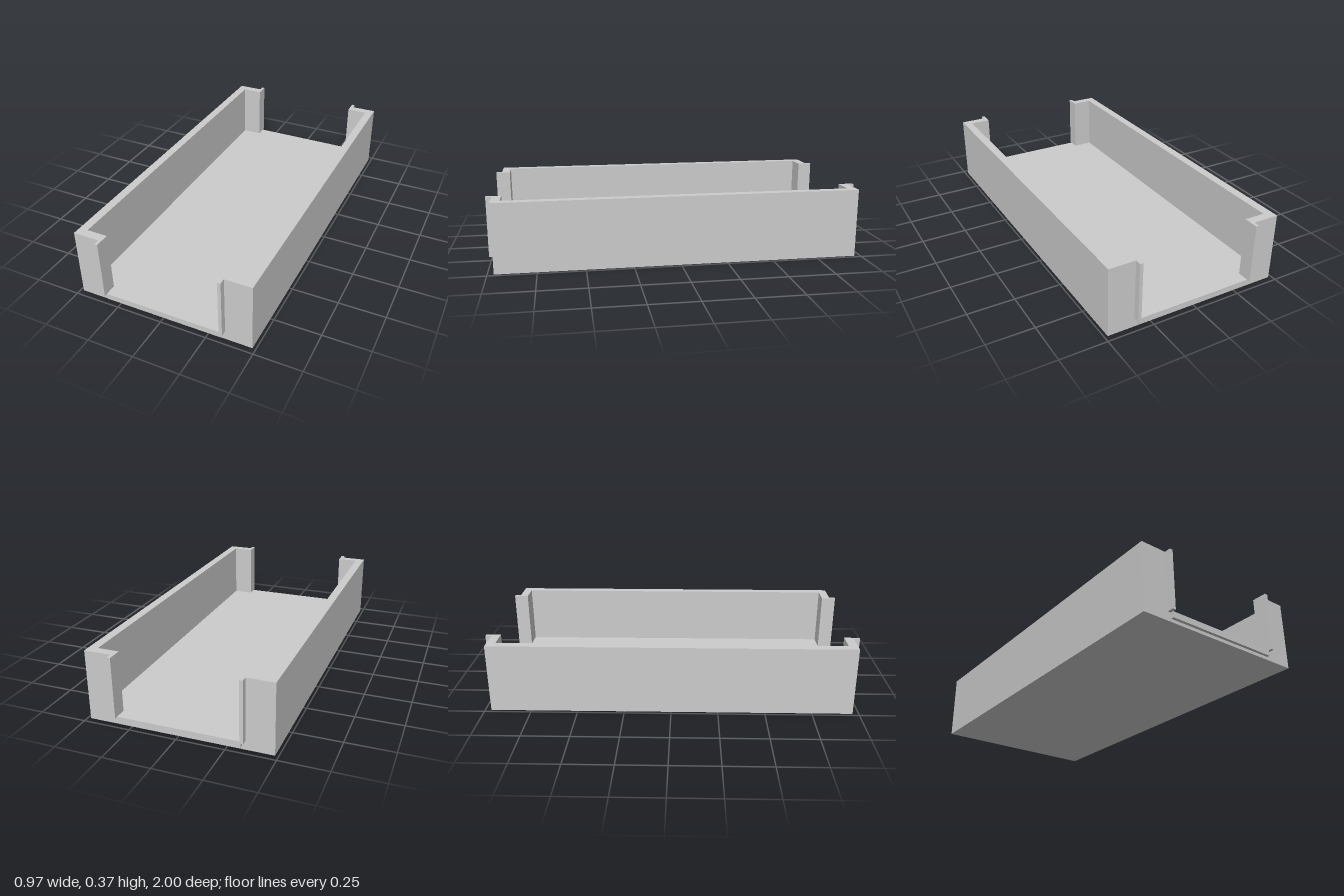
import * as THREE from 'three';

const HALF_W = 0.483, HALF_L = 0.967, HEIGHT = 0.372, FLOOR = 0.049;
const INNER_W = 0.436, INNER_L = 0.92, OPENING = 0.322;
const TAB_W = 0.34, TAB_END = 1, LIP_END = 0.983, LIP_BOTTOM = 0.017;

const material = new THREE.MeshStandardMaterial({ color: 0xcccccc, flatShading: true });

function add(group, name, geometry, x = 0, y = 0, z = 0) {
  const mesh = new THREE.Mesh(geometry, material);
  mesh.name = name;
  mesh.position.set(x, y, z);
  group.add(mesh);
}

// C-shaped side wall: long wall, returns at both ends, and a thin tab on each return
function wallGeometry(side) {
  const half = [
    [HALF_W, HALF_L], [TAB_W, HALF_L], [TAB_W, TAB_END],
    [OPENING, TAB_END], [OPENING, INNER_L], [INNER_W, INNER_L],
  ];
  const outline = [...half, ...half.map(([x, z]) => [x, -z]).reverse()];
  const shape = new THREE.Shape(outline.map(([x, z]) => new THREE.Vector2(side * x, z)));
  const geometry = new THREE.ExtrudeGeometry(shape, { depth: HEIGHT - FLOOR, bevelEnabled: false });
  return geometry.rotateX(-Math.PI / 2);
}

export function createModel() {
  const tray = new THREE.Group();
  tray.name = 'openEndedTray';

  // Floor slab
  add(tray, 'floor', new THREE.BoxGeometry(2 * HALF_W, FLOOR, 2 * HALF_L), 0, FLOOR / 2, 0);

  // Mirrored side walls
  add(tray, 'leftWall', wallGeometry(1), 0, FLOOR, 0);
  add(tray, 'rightWall', wallGeometry(-1), 0, FLOOR, 0);

  // Small lip under each end opening
  const lipDepth = LIP_END - HALF_L;
  for (const end of [1, -1]) {
    add(tray, end > 0 ? 'frontLip' : 'backLip',
      new THREE.BoxGeometry(2 * OPENING, FLOOR - LIP_BOTTOM, lipDepth),
      0, (FLOOR + LIP_BOTTOM) / 2, end * (HALF_L + lipDepth / 2));
  }
  return tray;
}
